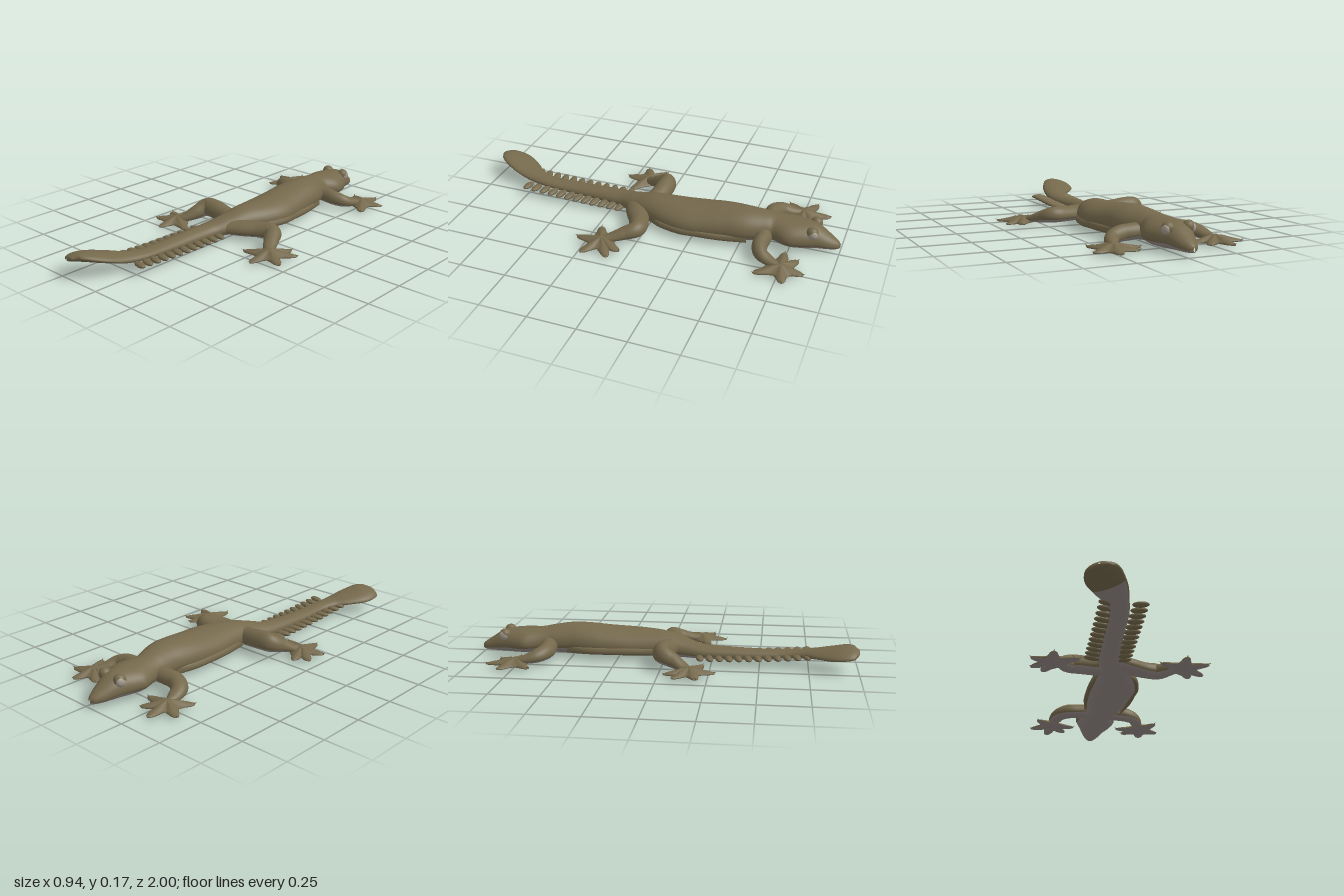
import * as THREE from 'three';

const skinColour = new THREE.MeshStandardMaterial({ color: 0x75694c, name: 'oliveSkin' });
const bellyColour = new THREE.MeshStandardMaterial({ color: 0x948a87, name: 'greyBelly' });
const eyeColour = new THREE.MeshStandardMaterial({ color: 0xa39a8c, name: 'paleEye' });

// Joins closed rings into one smooth skin; isBelly(i, j) picks the second colour.
function skin(name, rings, isBelly) {
  const n = rings[0].length, faces = [[], []];
  for (let i = 0; i < rings.length - 1; i++) {
    for (let j = 0; j < n; j++) {
      const k = (j + 1) % n;
      const a = i * n + j, b = (i + 1) * n + j, c = i * n + k, d = (i + 1) * n + k;
      faces[isBelly(i, j) ? 1 : 0].push(a, b, c, c, b, d);
    }
  }
  const geo = new THREE.BufferGeometry();
  geo.setAttribute('position', new THREE.Float32BufferAttribute(rings.flat(2), 3));
  geo.setIndex([...faces[0], ...faces[1]]);
  geo.addGroup(0, faces[0].length, 0);
  geo.addGroup(faces[0].length, faces[1].length, 1);
  geo.computeVertexNormals();
  const mesh = new THREE.Mesh(geo, [skinColour, bellyColour]);
  mesh.name = name;
  return mesh;
}

// Lofts sections [x, z, halfWidth, yTop, yBottom, tilt] along a smooth path.
function loft(name, sections, steps, bellyEnd = Infinity, sides = 28) {
  const path = new THREE.CatmullRomCurve3(sections.map(s => new THREE.Vector3(s[0], s[3], s[1])), false, 'catmullrom');
  const size = new THREE.CatmullRomCurve3(sections.map(s => new THREE.Vector3(s[2], s[4], s[5] || 0)), false, 'catmullrom');
  const rings = [];
  for (let i = 0; i <= steps; i++) {
    const p = path.getPoint(i / steps), s = size.getPoint(i / steps);
    const t = path.getTangent(i / steps).setY(0).normalize();
    const w = Math.max(s.x, 0.002), mid = s.y + 0.42 * (p.y - s.y);
    const ring = [];
    for (let j = 0; j < sides; j++) {
      const a = j / sides * Math.PI * 2, c = Math.cos(a), v = Math.sin(a);
      ring.push([p.x - t.z * c * w, mid + v * (v > 0 ? p.y - mid : mid - s.y) + s.z * c, p.z + t.x * c * w]);
    }
    rings.push(ring);
  }
  return skin(name, rings, (i, j) => Math.sin((j + 0.5) / sides * Math.PI * 2) < -0.42 && rings[i][0][2] < bellyEnd);
}

// Webbed star-shaped foot from its centre and toe tips [x, z].
function foot(name, cx, cz, tips) {
  const group = new THREE.Group();
  group.name = name;
  const toes = tips.map(([x, z]) => ({ a: Math.atan2(z - cz, x - cx), r: Math.hypot(x - cx, z - cz) })).sort((p, q) => q.a - p.a);
  const outline = [];
  toes.forEach((toe, i) => {
    const c = Math.cos(toe.a), s = Math.sin(toe.a);
    for (const [f, w] of [[0.62, 0.026], [0.82, 0.02], [0.94, 0.012], [1, 0], [0.94, -0.012], [0.82, -0.02], [0.62, -0.026]]) {
      outline.push([c * toe.r * f - s * w, s * toe.r * f + c * w]);
    }
    const next = toes[(i + 1) % toes.length].a - (i === toes.length - 1 ? Math.PI * 2 : 0);
    const m = (toe.a + next) / 2;
    outline.push([Math.cos(m) * 0.066, Math.sin(m) * 0.066]);
    // claw, curled slightly upward
    const claw = new THREE.Mesh(new THREE.ConeGeometry(0.006, 0.026, 8), skinColour);
    claw.name = 'claw';
    claw.position.set(cx + c * toe.r * 0.97, 0.02, cz + s * toe.r * 0.97);
    claw.quaternion.setFromUnitVectors(new THREE.Vector3(0, 1, 0), new THREE.Vector3(c, 0.35, s).normalize());
    group.add(claw);
  });
  const layers = [[0, 0.045], [0.3, 0.042], [0.6, 0.031], [0.85, 0.024], [1, 0.018], [0.99, 0.012], [0.85, 0.01], [0, 0.01]];
  const rings = layers.map(([k, y]) => outline.map(([x, z]) => [cx + x * k, y, cz + z * k]));
  group.add(skin('webbedSole', rings, i => i >= 5));
  return group;
}

export function createModel() {
  const model = new THREE.Group();
  model.name = 'gecko';

  // Head, trunk and leaf-shaped tail in one skin
  model.add(loft('bodyAndTail', [
    [-0.03, -1, 0.004, 0.045, 0.025], [-0.03, -0.985, 0.026, 0.06, 0.018], [-0.03, -0.94, 0.05, 0.09, 0.014],
    [-0.03, -0.87, 0.076, 0.132, 0.012], [-0.026, -0.8, 0.104, 0.142, 0.01], [-0.025, -0.74, 0.115, 0.145, 0.012],
    [-0.027, -0.66, 0.088, 0.15, 0.015], [-0.017, -0.6, 0.094, 0.16, 0.012], [0.002, -0.5, 0.114, 0.17, 0.008],
    [0.005, -0.4, 0.124, 0.167, 0.004], [0.011, -0.3, 0.13, 0.157, 0.002], [0.017, -0.2, 0.132, 0.15, 0],
    [0.01, -0.1, 0.116, 0.146, 0.003], [-0.007, 0, 0.092, 0.138, 0.008], [-0.03, 0.1, 0.074, 0.112, 0.01],
    [-0.057, 0.2, 0.06, 0.088, 0.012], [-0.066, 0.35, 0.053, 0.08, 0.014], [-0.068, 0.5, 0.05, 0.075, 0.022],
    [-0.068, 0.64, 0.048, 0.077, 0.032], [-0.088, 0.74, 0.056, 0.088, 0.04], [-0.125, 0.82, 0.08, 0.105, 0.057, -0.008],
    [-0.17, 0.9, 0.088, 0.123, 0.07, -0.018], [-0.195, 0.955, 0.072, 0.126, 0.08, -0.018],
    [-0.202, 0.99, 0.04, 0.117, 0.088, -0.01], [-0.204, 1, 0.003, 0.106, 0.098],
  ], 160, 0.8, 36));

  // Loose skin folds along the lower flanks
  const folds = {
    rightFlankFold: [[-0.1, -0.52], [-0.117, -0.4], [-0.117, -0.26], [-0.108, -0.14], [-0.09, -0.02]],
    leftFlankFold: [[0.103, -0.54], [0.128, -0.4], [0.139, -0.27], [0.144, -0.19], [0.12, -0.08], [0.08, 0]],
  };
  for (const [name, pts] of Object.entries(folds)) {
    model.add(loft(name, pts.map(([x, z], i) =>
      [x, z, i === 0 || i === pts.length - 1 ? 0.002 : 0.012, 0.065, 0.028]), 30, -9, 10));
  }

  // Eyes with heavy lids
  for (const [side, x] of [[-1, -0.094], [1, 0.036]]) {
    const eye = new THREE.Mesh(new THREE.SphereGeometry(0.027, 20, 14), eyeColour);
    eye.name = side < 0 ? 'rightEye' : 'leftEye';
    eye.scale.set(0.75, 1, 1);
    eye.position.set(x, 0.11, -0.863);
    const lid = new THREE.Mesh(new THREE.SphereGeometry(0.031, 20, 14), skinColour);
    lid.name = 'eyelid';
    lid.position.set(x - side * 0.012, 0.114, -0.86);
    model.add(eye, lid);
  }

  // Legs
  model.add(loft('rightFrontLeg', [
    [-0.06, -0.62, 0.045, 0.11, 0.03], [-0.13, -0.613, 0.045, 0.105, 0.025], [-0.2, -0.612, 0.045, 0.1, 0.02],
    [-0.253, -0.645, 0.042, 0.085, 0.015], [-0.275, -0.7, 0.034, 0.06, 0.012], [-0.288, -0.755, 0.012, 0.04, 0.015]], 40));
  model.add(loft('leftFrontLeg', [
    [0.02, -0.62, 0.045, 0.11, 0.03], [0.09, -0.622, 0.042, 0.105, 0.025], [0.145, -0.622, 0.04, 0.1, 0.02],
    [0.195, -0.642, 0.036, 0.085, 0.015], [0.22, -0.69, 0.032, 0.06, 0.012], [0.243, -0.75, 0.012, 0.04, 0.015]], 40));
  model.add(loft('rightHindLeg', [
    [-0.03, 0.04, 0.055, 0.11, 0.02], [-0.1, 0.018, 0.052, 0.118, 0.022], [-0.18, 0.008, 0.052, 0.13, 0.03],
    [-0.25, 0.015, 0.048, 0.13, 0.03], [-0.282, 0.075, 0.04, 0.095, 0.018], [-0.315, 0.13, 0.032, 0.055, 0.012],
    [-0.345, 0.16, 0.012, 0.04, 0.015]], 48));
  model.add(loft('leftHindLeg', [
    [0, 0.1, 0.06, 0.095, 0.02], [0.07, 0.065, 0.06, 0.098, 0.018], [0.15, 0.028, 0.052, 0.1, 0.02],
    [0.225, 0.015, 0.047, 0.104, 0.02], [0.267, 0.068, 0.04, 0.08, 0.016], [0.302, 0.125, 0.032, 0.052, 0.012],
    [0.335, 0.165, 0.012, 0.04, 0.015]], 48));

  // Feet
  model.add(foot('rightFrontFoot', -0.288, -0.755, [[-0.31, -0.9], [-0.205, -0.85], [-0.155, -0.755], [-0.41, -0.81], [-0.375, -0.66]]));
  model.add(foot('leftFrontFoot', 0.245, -0.755, [[0.26, -0.875], [0.36, -0.79], [0.325, -0.635], [0.1, -0.745], [0.145, -0.825]]));
  model.add(foot('rightHindFoot', -0.345, 0.155, [[-0.39, 0.03], [-0.455, 0.08], [-0.46, 0.2], [-0.345, 0.285], [-0.205, 0.215]]));
  model.add(foot('leftHindFoot', 0.335, 0.165, [[0.385, 0.045], [0.455, 0.085], [0.46, 0.23], [0.33, 0.305], [0.205, 0.215]]));

  // Rows of frill lobes along both edges of the tail
  const frill = new THREE.Group();
  frill.name = 'tailFrill';
  const lobeShape = new THREE.SphereGeometry(1, 16, 10);
  for (const side of [-1, 1]) {
    for (let i = 0; i < 12; i++) {
      const t = i / 11, z = 0.18 + 0.55 * t;
      const lobe = new THREE.Mesh(lobeShape, skinColour);
      lobe.name = 'frillLobe';
      lobe.scale.set(0.047 - 0.006 * t, 0.013, 0.02);
      lobe.position.set(-0.066 + side * (0.078 - 0.006 * t) + (side > 0 ? 0.014 * t : 0), 0.034 + 0.022 * t * t, z + 0.012);
      lobe.rotation.y = -side * 0.2;
      frill.add(lobe);
    }
  }
  model.add(frill);
  return model;
}
